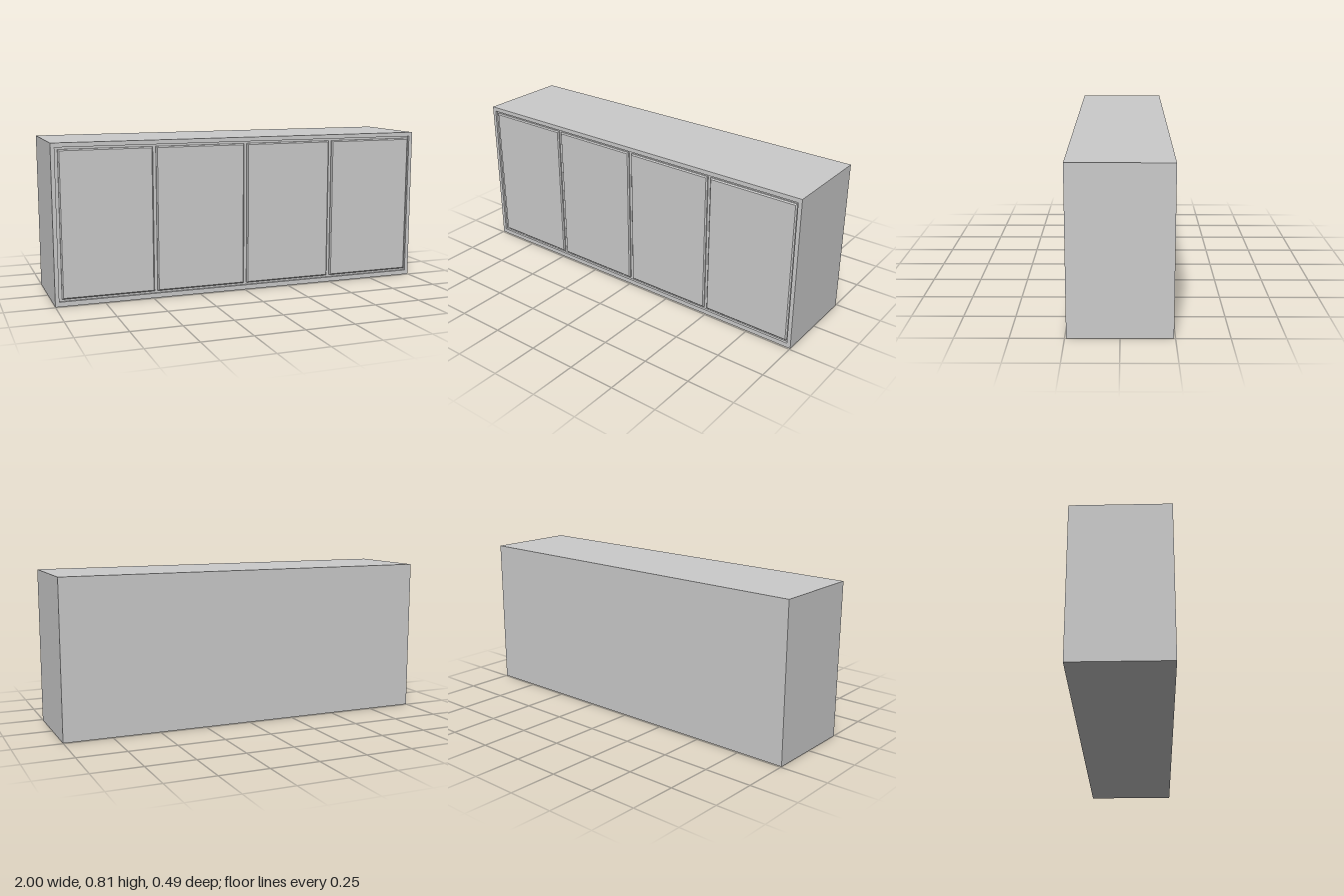
import * as THREE from 'three';

const W = 2, H = 0.81, D = 0.486, RECESS = 0.012;

// Rectangle outline from its corners
function rect(x0, y0, x1, y1, Type = THREE.Shape) {
  return new Type([[x0, y0], [x1, y0], [x1, y1], [x0, y1]].map(([x, y]) => new THREE.Vector2(x, y)));
}

export function createModel() {
  const group = new THREE.Group();
  const material = new THREE.MeshStandardMaterial({ color: 0xcccccc, flatShading: true });
  const add = (name, geometry, x, y, z) => {
    const mesh = new THREE.Mesh(geometry, material);
    mesh.name = name;
    mesh.position.set(x, y, z);
    group.add(mesh);
  };
  const floorZ = D / 2 - RECESS;

  // Closed cabinet body; its front is the floor of the grooves
  add('cabinetBody', new THREE.BoxGeometry(W, H, D - RECESS), 0, H / 2, -RECESS / 2);

  // Border around the front opening
  const border = rect(-W / 2, 0, W / 2, H);
  border.holes.push(rect(-0.98, 0.024, 0.98, 0.788, THREE.Path));
  add('frontFrame', new THREE.ExtrudeGeometry(border, { depth: RECESS, bevelEnabled: false }), 0, 0, floorZ);

  // Four door panels with chamfered front edges, separated by grooves
  const bevel = 0.006, doorW = 0.472, doorH = 0.742, pitch = 0.489;
  const door = new THREE.ExtrudeGeometry(rect(-doorW / 2, -doorH / 2, doorW / 2, doorH / 2), {
    depth: RECESS - bevel, bevelEnabled: true, bevelThickness: bevel,
    bevelSize: bevel, bevelOffset: -bevel, bevelSegments: 1,
  });
  for (let i = 0; i < 4; i++) {
    add('doorPanel' + (i + 1), door, 0.005 + (i - 1.5) * pitch, 0.406, floorZ);
  }
  return group;
}
